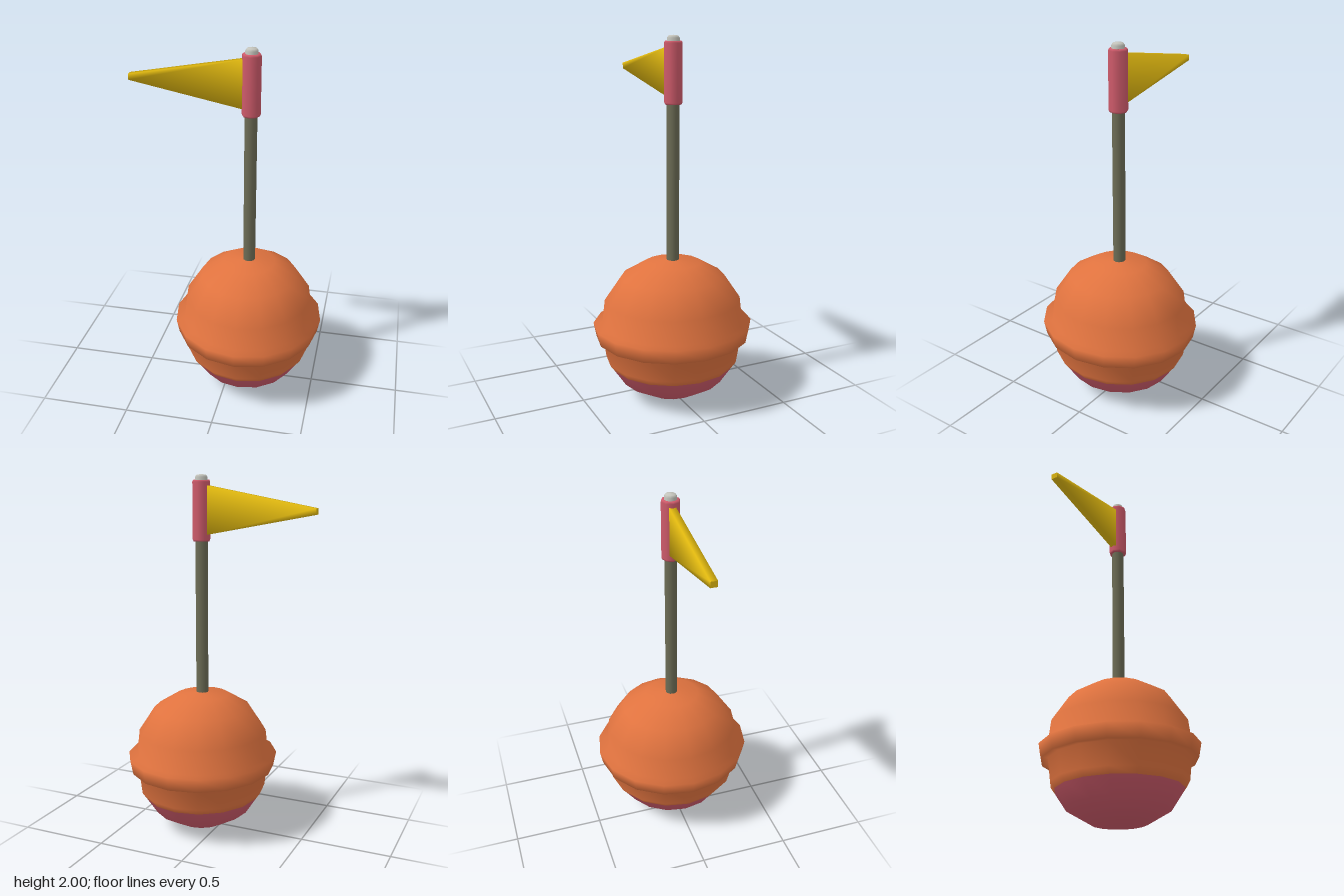
import * as THREE from 'three';

export function createModel() {
  const model = new THREE.Group();
  model.name = 'buoy';
  const mat = (name, color) => {
    const m = new THREE.MeshStandardMaterial({ color });
    m.name = name;
    return m;
  };
  const orange = mat('orange', 0xe0733f);
  const pink = mat('pink', 0xcf5b6b);
  const olive = mat('olive', 0x6c6c55);
  const grey = mat('light grey', 0xc4c4bc);
  const yellow = mat('yellow', 0xdeb60f);

  const axisX = 0.11;
  const add = (name, geometry, material) => {
    const mesh = new THREE.Mesh(geometry, material);
    mesh.name = name;
    mesh.position.x = axisX;
    model.add(mesh);
    return mesh;
  };
  const lathe = (points, sides) =>
    new THREE.LatheGeometry(points.map(([r, y]) => new THREE.Vector2(r, y)), sides);

  // Float: ball with a rim round its middle, painted below the water line
  const profile = [
    [0, 0.005], [0.155, 0.028], [0.287, 0.104], [0.352, 0.2], [0.377, 0.235], [0.393, 0.36],
    [0.43, 0.358], [0.446, 0.436], [0.396, 0.441],
    [0.38, 0.57], [0.287, 0.706], [0.155, 0.783], [0, 0.802],
  ];
  const sides = 16, bands = profile.length - 1, painted = 3;
  const body = lathe(profile, sides);
  body.scale(0.945, 1, 1);
  for (let i = 0; i < sides; i++) {
    const start = i * bands * 6;
    // the band touching each pole has one triangle per side
    body.addGroup(start, painted * 6, 1);
    body.addGroup(start + painted * 6, (bands - painted) * 6, 0);
  }
  add('float', body, [orange, pink]);

  // Pole
  const pole = new THREE.CylinderGeometry(0.034, 0.034, 1.2, 12);
  add('pole', pole, olive).position.y = 1.37;

  // Flag sleeve with bevelled ends
  add('flagSleeve', lathe([
    [0.03, 1.645], [0.046, 1.645], [0.051, 1.655],
    [0.051, 1.96], [0.046, 1.97], [0.03, 1.97],
  ], 8), pink);

  // Rounded pole cap
  add('poleCap', lathe([
    [0.034, 1.94], [0.034, 1.985], [0.026, 1.997], [0, 2],
  ], 10), grey);

  // Pennant: tapered slab with softened upper and lower edges
  const flag = new THREE.BoxGeometry(1, 1, 1);
  const pos = flag.attributes.position, normal = flag.attributes.normal;
  for (let i = 0; i < pos.count; i++) {
    const tip = pos.getX(i) < 0;
    const sy = Math.sign(pos.getY(i)), sz = Math.sign(pos.getZ(i));
    pos.setXYZ(i,
      tip ? -0.65 : -0.035,
      (tip ? 1.815 : 1.811) + sy * (tip ? 0.016 : 0.131),
      -0.002 + sz * 0.018);
    if (Math.abs(normal.getX(i)) < 0.5) normal.setXYZ(i, 0, sy * 0.707, sz * 0.707);
  }
  add('pennant', flag, yellow);

  return model;
}
